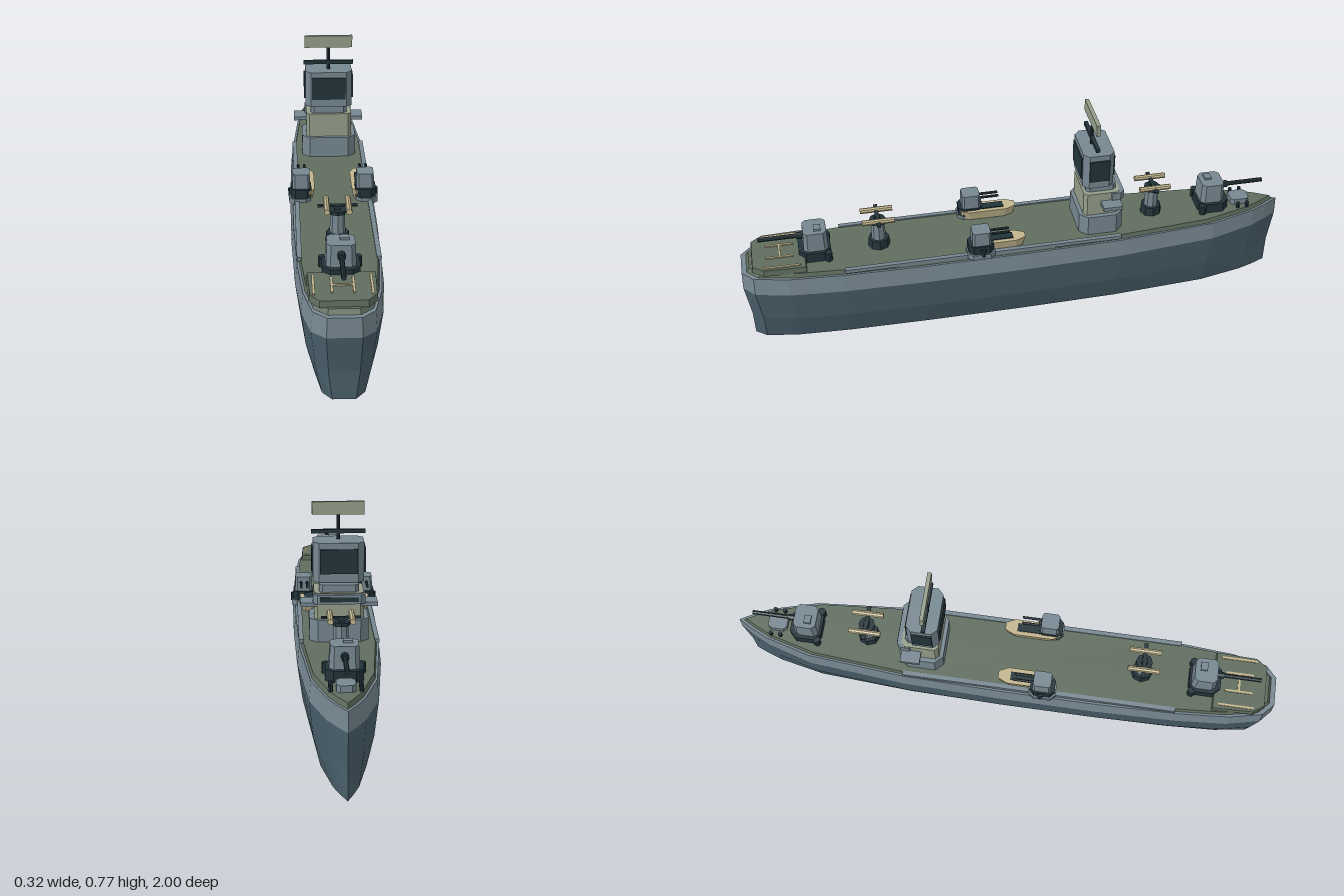
import * as THREE from 'three';

const mat = (name, color, side = THREE.FrontSide) => {
  const m = new THREE.MeshStandardMaterial({ color, side });
  m.name = name;
  m.flatShading = true;
  return m;
};

export function createModel() {
  const lowerGrey = mat('lower hull slate', 0x4a606c);
  const grey = mat('ship grey', 0x778892);
  const deckGreen = mat('deck green', 0x5f6d5e);
  const dark = mat('dark metal', 0x22343b);
  const sage = mat('sage', 0x969f8b);
  const cream = mat('cream', 0xc2b68e);

  const ship = new THREE.Group();
  ship.name = 'warship';

  const add = (parent, name, geo, material, x = 0, y = 0, z = 0) => {
    const m = new THREE.Mesh(geo, material);
    m.name = name;
    m.position.set(x, y, z);
    parent.add(m);
    return m;
  };
  const box = (p, name, m, w, h, d, x, y, z) => add(p, name, new THREE.BoxGeometry(w, h, d), m, x, y, z);
  const cyl = (p, name, m, r0, r1, h, n, x, y, z) => add(p, name, new THREE.CylinderGeometry(r1, r0, h, n), m, x, y, z);
  const rod = (p, name, m, r, len, x, y, z) => {
    const c = cyl(p, name, m, r, r, len, 8, x, y, z);
    c.rotation.x = Math.PI / 2;
    return c;
  };

  // Stack a plan outline at several levels [y, x scale, z scale] and cap the ends
  const loft = (outline, levels) => {
    const v = [];
    const n = outline.length;
    const pt = (l, i) => [outline[i % n][0] * l[1], l[0], outline[i % n][1] * l[2]];
    for (let k = 0; k < levels.length - 1; k++) {
      const lo = levels[k], hi = levels[k + 1];
      for (let i = 0; i < n; i++) {
        const a = pt(lo, i), b = pt(lo, i + 1), c = pt(hi, i + 1), d = pt(hi, i);
        v.push(...a, ...d, ...c, ...a, ...c, ...b);
      }
    }
    const bot = levels[0], top = levels[levels.length - 1];
    for (let i = 0; i < n; i++) {
      v.push(0, bot[0], 0, ...pt(bot, i), ...pt(bot, i + 1));
      v.push(0, top[0], 0, ...pt(top, i + 1), ...pt(top, i));
    }
    const g = new THREE.BufferGeometry();
    g.setAttribute('position', new THREE.Float32BufferAttribute(v, 3));
    g.computeVertexNormals();
    return g;
  };
  const mirrored = half => [...half, ...half.filter(p => p[0] > 0).reverse().map(([x, z]) => [-x, z])];
  const octagon = (w, d, k) => mirrored([[w - k, -d], [w, k - d], [w, d - k], [w - k, d]]);
  // Box with chamfered vertical edges, y0 to y1
  const block = (p, name, m, w, d, k, y0, y1, x = 0, z = 0, taper = 1) =>
    add(p, name, loft(octagon(w, d, k), [[y0, 1, 1], [y1, taper, taper]]), m, x, 0, z);

  // Hull and deck
  const plan = mirrored([[0, -1], [0.03, -0.95], [0.06, -0.89], [0.11, -0.72], [0.142, -0.36], [0.15, 0],
    [0.15, 0.36], [0.143, 0.65], [0.128, 0.84], [0.1, 0.96], [0.055, 1]]);
  add(ship, 'lowerHull', loft(plan, [[0, 0.67, 0.98], [0.1, 0.88, 0.982], [0.225, 1, 1]]), lowerGrey);
  add(ship, 'upperHull', loft(plan, [[0.225, 1, 1], [0.292, 0.95, 0.998]]), grey);
  add(ship, 'deck', loft(plan, [[0.292, 0.9, 0.98], [0.308, 0.87, 0.97]]), deckGreen);
  for (const s of [-1, 1]) {
    box(ship, 'sideRail', grey, 0.016, 0.014, 1.0, s * 0.128, 0.306, 0.14);
  }

  // Stern landing pad with painted markings
  const pad = mirrored([[0.11, -0.09], [0.105, 0.06], [0.075, 0.1]]);
  add(ship, 'landingPad', loft(pad, [[0.306, 1, 1], [0.328, 0.97, 0.97]]), deckGreen, 0, 0, 0.86);
  for (const s of [-1, 1]) {
    box(ship, 'padEdgeLine', cream, 0.008, 0.004, 0.13, s * 0.09, 0.33, 0.855);
    box(ship, 'padMark', cream, 0.008, 0.004, 0.1, s * 0.034, 0.33, 0.86);
  }
  box(ship, 'padMarkBar', cream, 0.068, 0.004, 0.008, 0, 0.33, 0.86);

  // Main gun turrets, fore and aft
  for (const s of [-1, 1]) {
    const t = new THREE.Group();
    t.name = s > 0 ? 'aftTurret' : 'foreTurret';
    block(t, 'turretBase', dark, 0.06, 0.057, 0.025, 0.305, 0.345);
    for (const x of [-0.056, 0.056]) cyl(t, 'turretBollard', dark, 0.014, 0.014, 0.035, 8, x, 0.325, -0.045);
    block(t, 'turretHouse', grey, 0.048, 0.044, 0.014, 0.345, 0.418, 0, -0.005, 0.93);
    box(t, 'turretHatch', grey, 0.03, 0.008, 0.025, 0.012, 0.422, -0.015);
    rod(t, 'gunMantlet', dark, 0.013, 0.03, 0, 0.388, 0.045);
    rod(t, 'gunBarrel', dark, 0.008, 0.16, 0, 0.388, 0.115);
    t.position.z = s * 0.735;
    if (s < 0) t.rotation.y = Math.PI;
    ship.add(t);
  }

  // Twin light guns on pedestals
  for (const z of [-0.505, 0.505]) {
    const g = new THREE.Group();
    g.name = 'twinLightGun';
    cyl(g, 'mountBase', dark, 0.04, 0.037, 0.035, 8, 0, 0.323, 0);
    cyl(g, 'mountColumn', grey, 0.026, 0.024, 0.075, 8, 0, 0.375, 0);
    cyl(g, 'mountHead', dark, 0.03, 0.03, 0.012, 8, 0, 0.414, 0);
    box(g, 'mountCrossbar', dark, 0.13, 0.006, 0.014, 0, 0.433, 0);
    box(g, 'mountNeck', dark, 0.02, 0.02, 0.02, 0, 0.425, 0);
    for (const x of [-0.036, 0.036]) rod(g, 'lightBarrel', cream, 0.01, 0.115, x, 0.434, 0);
    g.position.z = z;
    ship.add(g);
  }

  // Boats and small gun mounts amidships
  const boatPlan = mirrored([[0.014, -0.105], [0.03, -0.07], [0.03, 0.07], [0.016, 0.1]]);
  for (const s of [-1, 1]) {
    const b = new THREE.Group();
    b.name = s > 0 ? 'leftBattery' : 'rightBattery';
    add(b, 'boatHull', loft(boatPlan, [[0.308, 0.75, 0.9], [0.345, 1, 1]]), cream, s * 0.095, 0, 0.095);
    box(b, 'boatWell', dark, 0.03, 0.006, 0.1, s * 0.095, 0.346, 0.085);
    block(b, 'sponson', grey, 0.038, 0.05, 0.018, 0.3, 0.32, s * 0.117, 0.155);
    block(b, 'gunBase', dark, 0.036, 0.045, 0.016, 0.32, 0.352, s * 0.113, 0.155);
    cyl(b, 'baseBollard', dark, 0.012, 0.012, 0.03, 8, s * 0.146, 0.325, 0.15);
    block(b, 'gunHouse', grey, 0.031, 0.034, 0.008, 0.352, 0.405, s * 0.112, 0.153, 0.95);
    for (const x of [-0.011, 0.011]) rod(b, 'smallBarrel', dark, 0.005, 0.08, s * 0.11 + x, 0.385, 0.09);
    ship.add(b);
  }

  // Foredeck gear
  block(ship, 'foredeckLocker', grey, 0.03, 0.035, 0.012, 0.306, 0.33, 0, -0.845);
  for (const s of [-1, 1]) {
    for (const z of [-0.865, -0.83]) cyl(ship, 'bollard', dark, 0.007, 0.007, 0.022, 8, s * 0.047, 0.317, z);
  }

  // Bridge tower
  const tower = new THREE.Group();
  tower.name = 'bridgeTower';
  block(tower, 'towerBase', grey, 0.1, 0.08, 0.028, 0.306, 0.385, 0, 0);
  block(tower, 'towerMiddle', sage, 0.084, 0.066, 0.012, 0.385, 0.475, 0, 0);
  box(tower, 'bridgeWings', grey, 0.26, 0.014, 0.07, 0, 0.435, -0.03);
  block(tower, 'bridgeFront', grey, 0.088, 0.03, 0.015, 0.44, 0.472, 0, -0.052);
  box(tower, 'bridgeWindow', dark, 0.13, 0.016, 0.004, 0, 0.456, -0.082);
  block(tower, 'towerTop', grey, 0.067, 0.055, 0.012, 0.475, 0.5, 0, 0);
  cyl(tower, 'radarNeck', dark, 0.02, 0.02, 0.01, 8, 0, 0.502, 0.01);
  block(tower, 'radarHouse', grey, 0.086, 0.056, 0.02, 0.505, 0.64, 0, 0.015);
  for (const s of [-1, 1]) {
    box(tower, 'radarPanel', dark, 0.126, 0.084, 0.008, 0, 0.577, 0.015 + s * 0.057);
    box(tower, 'radarSidePanel', dark, 0.009, 0.084, 0.072, s * 0.087, 0.577, 0.015);
  }
  cyl(tower, 'mast', dark, 0.006, 0.006, 0.095, 8, 0, 0.685, 0.025);
  box(tower, 'mastCrossbar', dark, 0.184, 0.013, 0.014, 0, 0.667, 0.025);
  box(tower, 'antennaPanel', sage, 0.177, 0.044, 0.014, 0, 0.747, 0.025);
  tower.position.z = -0.295;
  ship.add(tower);

  return ship;
}
